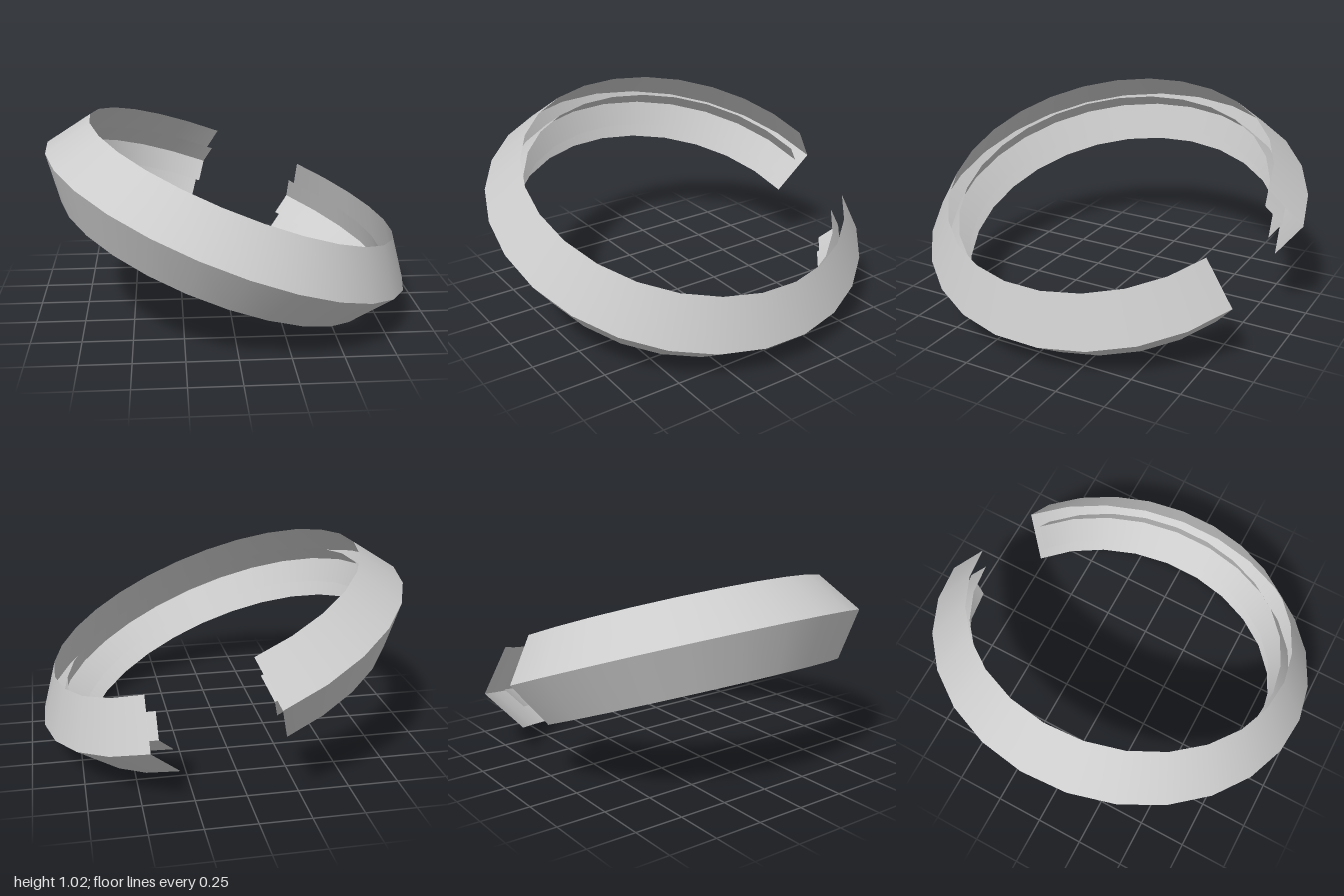
import * as THREE from 'three';

const GREY = new THREE.MeshStandardMaterial({ color: 0xcccccc, side: THREE.DoubleSide });
GREY.name = 'lightGrey';

const SEGMENTS = 24;
const START = THREE.MathUtils.degToRad(186);
const ARC = THREE.MathUtils.degToRad(324);

// One conical strip swept around the open ring
function strip(name, r0, y0, r1, y1) {
  const profile = [new THREE.Vector2(r0, y0), new THREE.Vector2(r1, y1)];
  const mesh = new THREE.Mesh(new THREE.LatheGeometry(profile, SEGMENTS, START, ARC), GREY);
  mesh.name = name;
  return mesh;
}

// V-shaped channel open towards the centre, with a sharp ridge at its widest radius
function channel(name, ridge, lip, height) {
  const group = new THREE.Group();
  group.name = name;
  group.add(strip(name + 'Lower', lip, -height, ridge, 0));
  group.add(strip(name + 'Upper', ridge, 0, lip, height));
  return group;
}

export function createModel() {
  const model = new THREE.Group();
  model.name = 'openRing';

  // Both channels share one tilted axis
  const ring = new THREE.Group();
  ring.name = 'tiltedRing';
  ring.add(channel('outerChannel', 1, 0.844, 0.216));
  ring.add(channel('innerChannel', 0.896, 0.818, 0.108));
  ring.rotation.z = THREE.MathUtils.degToRad(-21.5);
  ring.position.y = 0.51;
  model.add(ring);
  return model;
}
